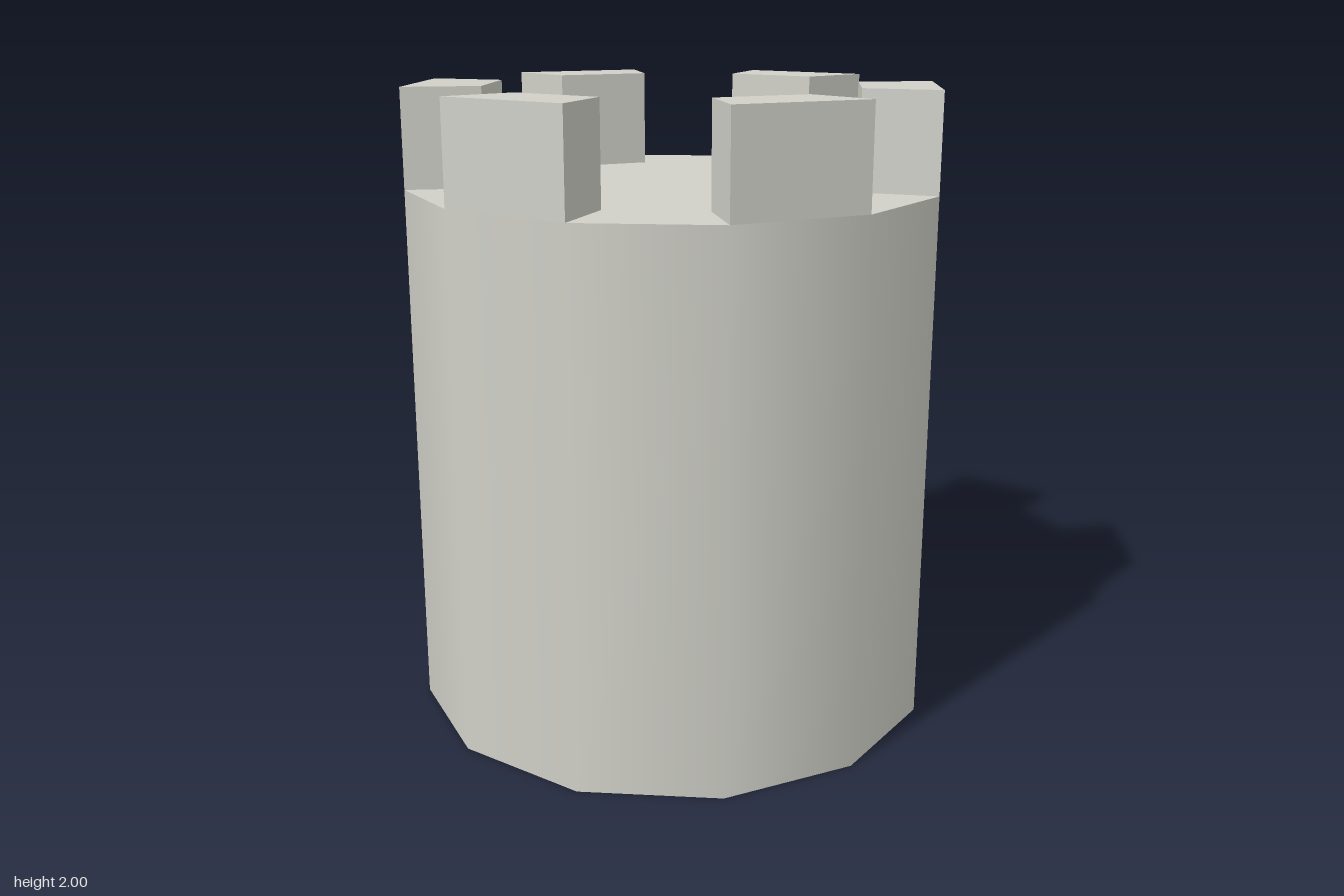
import * as THREE from 'three';

const SIDES = 12, RADIUS = 0.84, INNER = 0.595, WALL = 1.69, HEIGHT = 2;

export function createModel() {
  const model = new THREE.Group();
  model.name = 'tower';

  const stone = new THREE.MeshStandardMaterial({ color: 0xd0d0c8 });
  stone.name = 'pale stone';
  stone.side = THREE.DoubleSide;

  const add = (name, geometry) => {
    const mesh = new THREE.Mesh(geometry, stone);
    mesh.name = name;
    model.add(mesh);
    return mesh;
  };

  // Smooth twelve-sided shell, open at the bottom
  add('towerWall', new THREE.CylinderGeometry(RADIUS, RADIUS, WALL, SIDES, 1, true)
    .translate(0, WALL / 2, 0));

  // Flat floor inside the battlements
  add('roofFloor', new THREE.CircleGeometry(RADIUS, SIDES)
    .rotateX(-Math.PI / 2).translate(0, WALL, 0));

  // One merlon on every second side
  const step = (2 * Math.PI) / SIDES;
  const corner = (r, a) => new THREE.Vector2(r * Math.cos(a), r * Math.sin(a));
  const outline = new THREE.Shape([
    corner(INNER, 0), corner(RADIUS, 0), corner(RADIUS, step), corner(INNER, step),
  ]);
  const merlon = new THREE.ExtrudeGeometry(outline, { depth: HEIGHT - WALL, bevelEnabled: false })
    .rotateX(-Math.PI / 2).translate(0, WALL, 0);
  for (let i = 0; i < SIDES / 2; i++) {
    add('merlon' + (i + 1), merlon).rotation.y = i * 2 * step;
  }

  return model;
}
